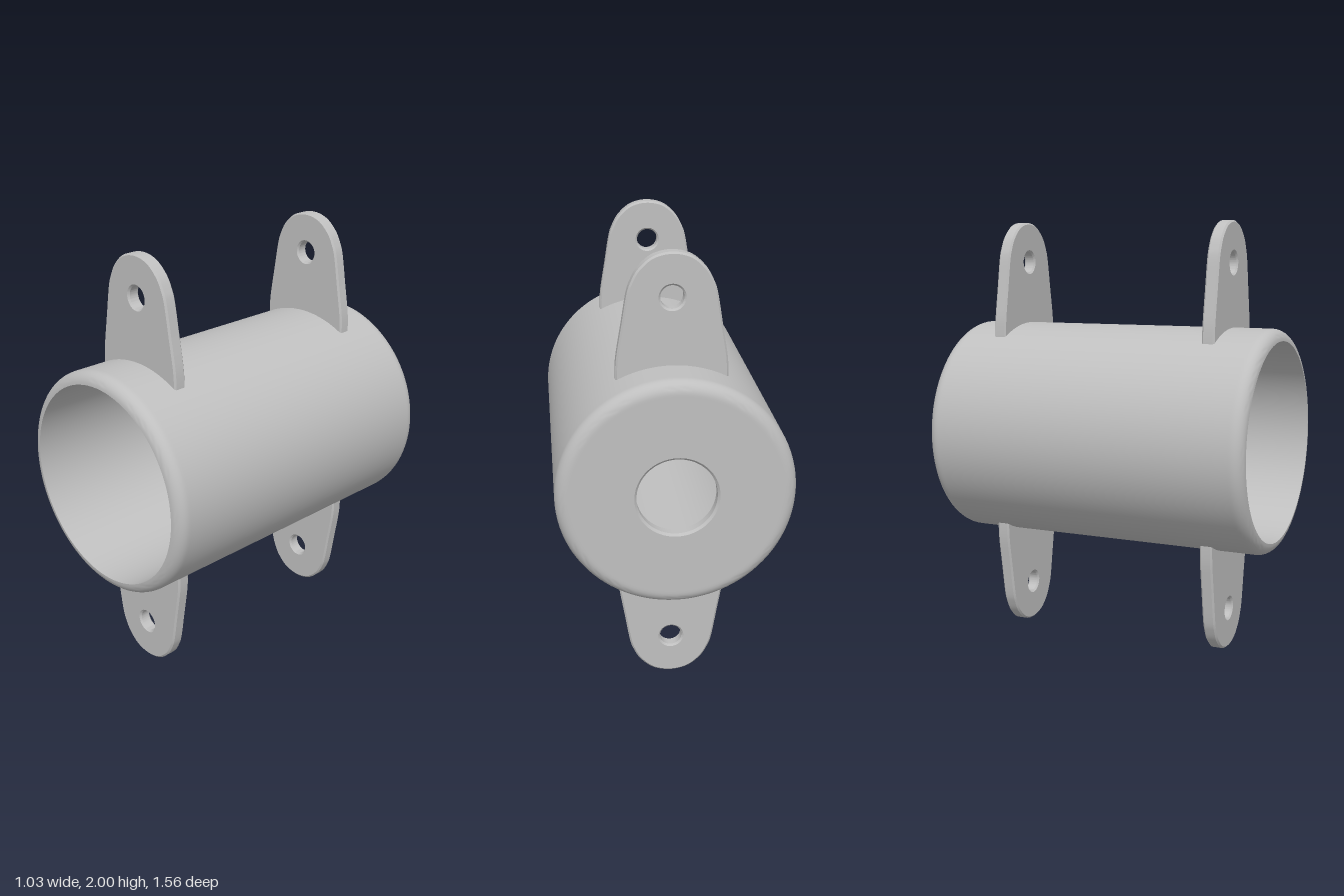
import * as THREE from 'three';
import { toCreasedNormals } from 'three/addons/utils/BufferGeometryUtils.js';

const R = 0.515, BORE = 0.46, FILLET = 0.055, HALF = 0.78, WALL = 0.06, HOLE = 0.172, CHAMFER = 0.01;

// Quarter-round from angle a to a + 90 degrees
function fillet(cx, cy, a) {
  const pts = [];
  for (let i = 0; i <= 8; i++) {
    const t = a + (i / 8) * Math.PI / 2;
    pts.push(new THREE.Vector2(cx + FILLET * Math.cos(t), cy + FILLET * Math.sin(t)));
  }
  return pts;
}

// Open-fronted cup with a bored back wall, turned about the z axis
function shellGeometry() {
  const v = (x, y) => new THREE.Vector2(x, y);
  const inner = -HALF + WALL;
  const profile = [
    v(HOLE, -HALF + CHAMFER), v(HOLE + CHAMFER, -HALF), v(R - FILLET - 0.01, -HALF),
    ...fillet(R - FILLET, -HALF + FILLET, -Math.PI / 2),
    v(R, -HALF + FILLET + 0.01), v(R, HALF - FILLET - 0.01),
    ...fillet(R - FILLET, HALF - FILLET, 0),
    v(BORE, inner), v(HOLE + CHAMFER, inner), v(HOLE, inner - CHAMFER),
    v(HOLE, -HALF + CHAMFER),
  ];
  const geo = new THREE.LatheGeometry(profile, 96);
  geo.rotateX(Math.PI / 2);
  return toCreasedNormals(geo, 0.5);
}

// Tapered ear with a screw hole, its foot curved to sit within the shell wall
function earGeometry() {
  const side = [[0.24, 0.5], [0.234, 0.56], [0.212, 0.69], [0.19, 0.82], [0.172, 0.875], [0.14, 0.93], [0.08, 0.98], [0, 0.9975]];
  const curve = new THREE.SplineCurve([
    ...side.map(([x, y]) => new THREE.Vector2(x, y)),
    ...side.slice(0, -1).reverse().map(([x, y]) => new THREE.Vector2(-x, y)),
  ]);
  const foot = 0.488, a = Math.asin(0.24 / foot);
  const points = curve.getPoints(80);
  for (let i = 0; i <= 16; i++) {
    const t = -a + (2 * a * i) / 16;
    points.push(new THREE.Vector2(foot * Math.sin(t), foot * Math.cos(t)));
  }
  const shape = new THREE.Shape(points);
  shape.holes.push(new THREE.Path().absarc(0, 0.808, 0.05, 0, Math.PI * 2, true));
  const bevel = 0.008;
  const geo = new THREE.ExtrudeGeometry(shape, {
    depth: 0.06 - 2 * bevel, bevelEnabled: true, bevelThickness: bevel,
    bevelSize: bevel, bevelOffset: -bevel, bevelSegments: 1, curveSegments: 32,
  });
  geo.translate(0, 0, bevel - 0.03);
  return toCreasedNormals(geo, 0.5);
}

export function createModel() {
  const model = new THREE.Group();
  model.name = 'mountingSleeve';
  const grey = new THREE.MeshStandardMaterial({ color: 0xbfbfbf });
  grey.name = 'plain grey';

  const shell = new THREE.Mesh(shellGeometry(), grey);
  shell.name = 'shell';
  shell.position.y = 1.0025;
  model.add(shell);

  // Two pairs of ears, above and below the shell
  const ear = earGeometry();
  for (const [end, z] of [['front', 0.52], ['back', -0.54]]) {
    for (const [level, turn] of [['Upper', 0], ['Lower', Math.PI]]) {
      const mesh = new THREE.Mesh(ear, grey);
      mesh.name = `${end}${level}Ear`;
      mesh.position.set(0, 1.0025, z);
      mesh.rotation.z = turn;
      model.add(mesh);
    }
  }
  return model;
}
